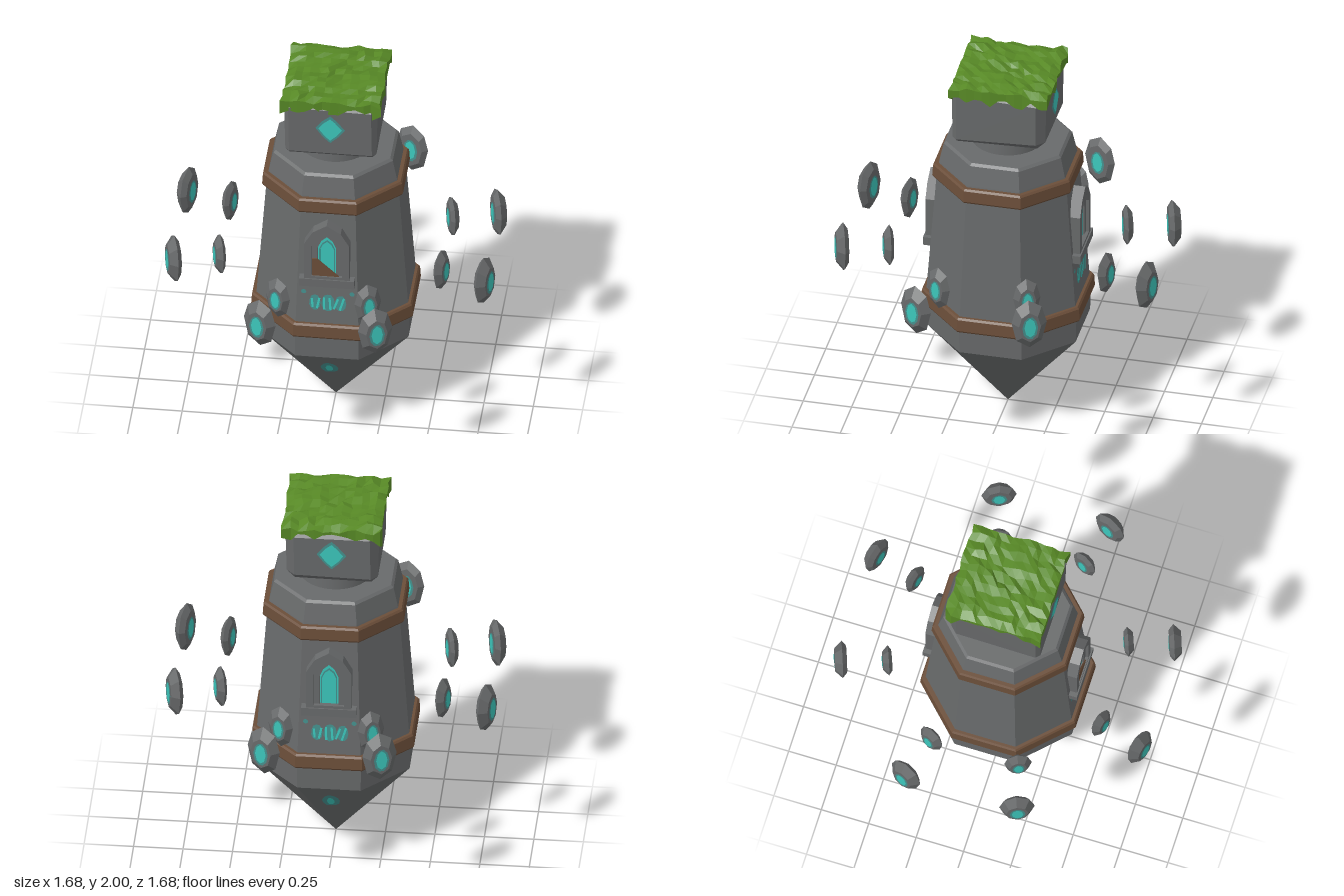
import * as THREE from 'three';
import { ConvexGeometry } from 'three/addons/geometries/ConvexGeometry.js';

const mat = (name, color, flat = true) => {
  const m = new THREE.MeshStandardMaterial({ color, flatShading: flat });
  m.name = name;
  return m;
};

export function createModel() {
  const stone = mat('stone', 0x686a6b);
  const smoothStone = mat('smooth stone', 0x686a6b, false);
  const wood = mat('wood', 0x6b4e39);
  const moss = mat('moss', 0x588a26);
  const glow = mat('glow', 0x3cc6bb);
  const dimGlow = mat('dim glow', 0x44908d);

  const model = new THREE.Group();
  model.name = 'floatingTower';

  const add = (parent, name, geometry, material, x = 0, y = 0, z = 0) => {
    const mesh = new THREE.Mesh(geometry, material);
    mesh.name = name;
    mesh.position.set(x, y, z);
    parent.add(mesh);
    return mesh;
  };
  const shapeOf = pts => new THREE.Shape(pts.map(p => new THREE.Vector2(p[0], p[1])));
  const plate = pts => new THREE.ShapeGeometry(shapeOf(pts));
  const hash = (a, b, c = 0) => {
    const s = Math.sin(a * 127.1 + b * 311.7 + c * 74.7) * 43758.5453;
    return s - Math.floor(s);
  };
  // slightly ragged oval outline
  const blob = (w, h, n = 12, rough = 0.2) => Array.from({ length: n }, (_, i) => {
    const a = i / n * Math.PI * 2, r = 1 - rough * hash(i, n);
    return [Math.cos(a) * w / 2 * r, Math.sin(a) * h / 2 * r];
  });
  // eight-sided solid; profile is [distance to flat side, height]
  const octagon = profile => new THREE.LatheGeometry(
    profile.map(([r, y]) => new THREE.Vector2(r / Math.cos(Math.PI / 8), y)), 8, Math.PI / 8);

  // tower body, from the tip up
  add(model, 'pointedBase', octagon([[0.0, 0], [0.387, 0.5], [0.392, 0.65]]), stone);
  add(model, 'towerWall', octagon([[0.392, 0.64], [0.385, 0.7], [0.335, 1.4]]), stone);
  add(model, 'towerCap', octagon([[0.335, 1.4], [0.325, 1.46], [0.303, 1.565], [0.29, 1.577], [0, 1.577]]), stone);

  // wooden bands
  const band = (name, r, y0, y1) => add(model, name, octagon(
    [[r - 0.07, y0], [r - 0.006, y0], [r, y0 + 0.01], [r - 0.004, y1 - 0.01], [r - 0.012, y1], [r - 0.07, y1]]), wood);
  band('lowerBand', 0.41, 0.63, 0.712);
  band('upperBand', 0.357, 1.372, 1.452);

  // neck and head block with chipped edges
  add(model, 'neck', new THREE.CylinderGeometry(0.183, 0.187, 0.09, 32), smoothStone, 0, 1.612, 0);
  const corners = [];
  for (const x of [-1, 1]) for (const y of [-1, 1]) for (const z of [-1, 1]) {
    const c = 0.02 + 0.025 * hash(x, y, z);
    const w = y > 0 ? 0.237 : 0.231, h = 0.157;
    corners.push(
      new THREE.Vector3(x * w, y * (h - c), z * (w + 0.006 - c)),
      new THREE.Vector3(x * (w - c), y * (h - c), z * (w + 0.006)),
      new THREE.Vector3(x * (w - c), y * h, z * (w + 0.006 - c)));
  }
  add(model, 'headBlock', new ConvexGeometry(corners), stone, 0, 1.803, 0);

  // moss cap: uneven top, ragged hanging edge
  const cap = new THREE.BoxGeometry(0.5, 0.04, 0.5, 12, 1, 12);
  const p = cap.attributes.position;
  for (let i = 0; i < p.count; i++) {
    const x = p.getX(i), y = p.getY(i), z = p.getZ(i);
    const gx = Math.round(x * 24), gz = Math.round(z * 24);
    const edge = Math.max(Math.abs(gx), Math.abs(gz)) === 6;
    const corner = Math.abs(gx) + Math.abs(gz) >= 11;
    const n = hash(gx, gz), k = hash(gz, gx, 3) - 0.5;
    const grow = edge ? 1 + 0.06 * k : 1;
    const j = edge ? 0 : 0.018;
    let ny;
    if (y > 0) ny = (edge ? 1.965 : 1.975) + n * 0.025;
    else ny = edge ? 1.953 - n * n * 0.055 - (corner ? 0.025 : 0) : 1.95;
    p.setXYZ(i, x * grow + j * k, ny, z * grow - 0.007 + j * (n - 0.5));
  }
  add(model, 'mossCap', cap, moss);

  // arched window outline
  const arch = (w, base, shoulder, top) => [[-w, base], [w, base], [w, shoulder],
    [w * 0.62, shoulder + (top - shoulder) * 0.62], [0, top],
    [-w * 0.62, shoulder + (top - shoulder) * 0.62], [-w, shoulder]];
  const archFrame = (outer, inner, depth) => {
    const s = shapeOf(outer);
    s.holes.push(new THREE.Path(inner.map(q => new THREE.Vector2(q[0], q[1]))));
    return new THREE.ExtrudeGeometry(s, { depth, bevelEnabled: false });
  };

  // decorated side, used on front and back
  for (const front of [true, false]) {
    const side = new THREE.Group();
    side.name = front ? 'frontDetails' : 'backDetails';
    side.rotation.y = front ? 0 : Math.PI;
    model.add(side);

    // window
    add(side, 'windowFrame', archFrame(arch(0.115, 0.97, 1.21, 1.33), arch(0.078, 0.98, 1.2, 1.285), 0.08), stone, 0, 0, 0.32);
    add(side, 'innerFrame', archFrame(arch(0.08, 0.975, 1.2, 1.29), arch(0.047, 0.99, 1.18, 1.25), 0.064), stone, 0, 0, 0.32);
    add(side, 'windowPane', plate(arch(0.05, 0.99, 1.18, 1.255)), glow, 0, 0, 0.374);
    add(side, 'paneBorder', archFrame(arch(0.04, 1.0, 1.17, 1.225), arch(0.035, 1.005, 1.167, 1.215), 0.003), dimGlow, 0, 0, 0.374);
    add(side, 'windowSill', new THREE.BoxGeometry(0.28, 0.045, 0.07), stone, 0, 0.975, 0.372);
    add(side, 'sillLedge', new THREE.BoxGeometry(0.22, 0.025, 0.08), stone, 0, 1.0, 0.36);
    if (front) {
      const board = new THREE.ExtrudeGeometry(shapeOf([[-0.075, 1.0], [0.075, 1.0], [-0.05, 1.115], [-0.075, 1.115]]),
        { depth: 0.008, bevelEnabled: false });
      add(side, 'windowBoard', board, wood, 0, 0, 0.385);
    }

    // glowing scratches under the window
    const marks = new THREE.Group();
    marks.name = 'wallMarks';
    marks.position.set(0, 0.835, 0.3775);
    marks.rotation.x = -0.072;
    side.add(marks);
    for (const [x, w, h] of [[-0.062, 0.06, 0.1], [0.005, 0.07, 0.11], [0.068, 0.06, 0.1]]) {
      add(marks, 'markHalo', plate(blob(w, h, 11, 0.12)), dimGlow, x, 0, 0);
    }
    for (let i = 0; i < 6; i++) {
      const bar = add(marks, 'markStroke', new THREE.PlaneGeometry(0.011, 0.05 + 0.03 * hash(i, 2)), glow, -0.075 + i * 0.03, -0.003, 0.003);
      bar.rotation.z = (hash(i, 5) - 0.5) * 0.7;
    }
    for (const x of [-0.12, 0.125]) add(marks, 'markDot', plate(blob(0.03, 0.03, 8)), dimGlow, x, 0.06, 0);

    // diamond on the head
    const diamond = s => plate([[0.075 * s, 0], [0.03 * s, 0.055 * s], [0, 0.083 * s], [-0.04 * s, 0.05 * s],
      [-0.075 * s, 0.005], [-0.035 * s, -0.05 * s], [0, -0.083 * s], [0.04 * s, -0.045 * s]]);
    add(side, 'diamondHalo', diamond(1), dimGlow, 0, 1.82, 0.245);
    add(side, 'diamondCore', diamond(0.8), glow, 0, 1.82, 0.248);

    // oval mark on the pointed base
    const oval = new THREE.Group();
    oval.name = 'baseMark';
    oval.position.set(0, 0.363, 0.284);
    oval.rotation.x = Math.atan(0.387 / 0.5);
    side.add(oval);
    add(oval, 'ovalHalo', plate(blob(0.095, 0.18)), dimGlow);
    add(oval, 'ovalCore', plate(blob(0.04, 0.11)), glow, 0, 0, 0.003);
  }

  // floating stones, bevelled towards both faces
  const chipGeometry = (w, h, t) => {
    const pts = [];
    for (const [s, z] of [[0.72, -t / 2], [1, -t * 0.12], [0.62, t / 2]]) {
      for (let i = 0; i < 8; i++) {
        const a = i * Math.PI / 4 + 0.15 * (hash(i, 4) - 0.5);
        pts.push(new THREE.Vector3(Math.sin(a) * w / 2 * s, Math.cos(a) * h / 2 * s, z));
      }
    }
    return new ConvexGeometry(pts);
  };
  const ring = (name, a, b, w, h, t) => {
    const geo = chipGeometry(w, h, t);
    const halo = plate(blob(w * 0.46, h * 0.5, 10, 0.12));
    const core = plate(blob(w * 0.34, h * 0.42, 8, 0.08));
    for (const sx of [-1, 1]) for (const sz of [-1, 1]) for (const swap of [false, true]) {
      const x = sx * (swap ? b : a), z = sz * (swap ? a : b);
      const chip = new THREE.Group();
      chip.name = name;
      chip.position.set(x, 0.983, z);
      chip.rotation.y = Math.atan2(x, z);
      model.add(chip);
      add(chip, 'chipStone', geo, stone);
      for (const back of [0, 1]) {
        const face = new THREE.Group();
        face.name = back ? 'innerMark' : 'outerMark';
        face.rotation.y = back * Math.PI;
        chip.add(face);
        add(face, 'chipHalo', halo, dimGlow, 0, 0, t / 2 + 0.002);
        add(face, 'chipCore', core, glow, 0, 0, t / 2 + 0.004);
      }
    }
  };
  ring('outerStone', 0.79, 0.295, 0.18, 0.28, 0.06);
  ring('innerStone', 0.565, 0.23, 0.14, 0.24, 0.045);

  return model;
}
